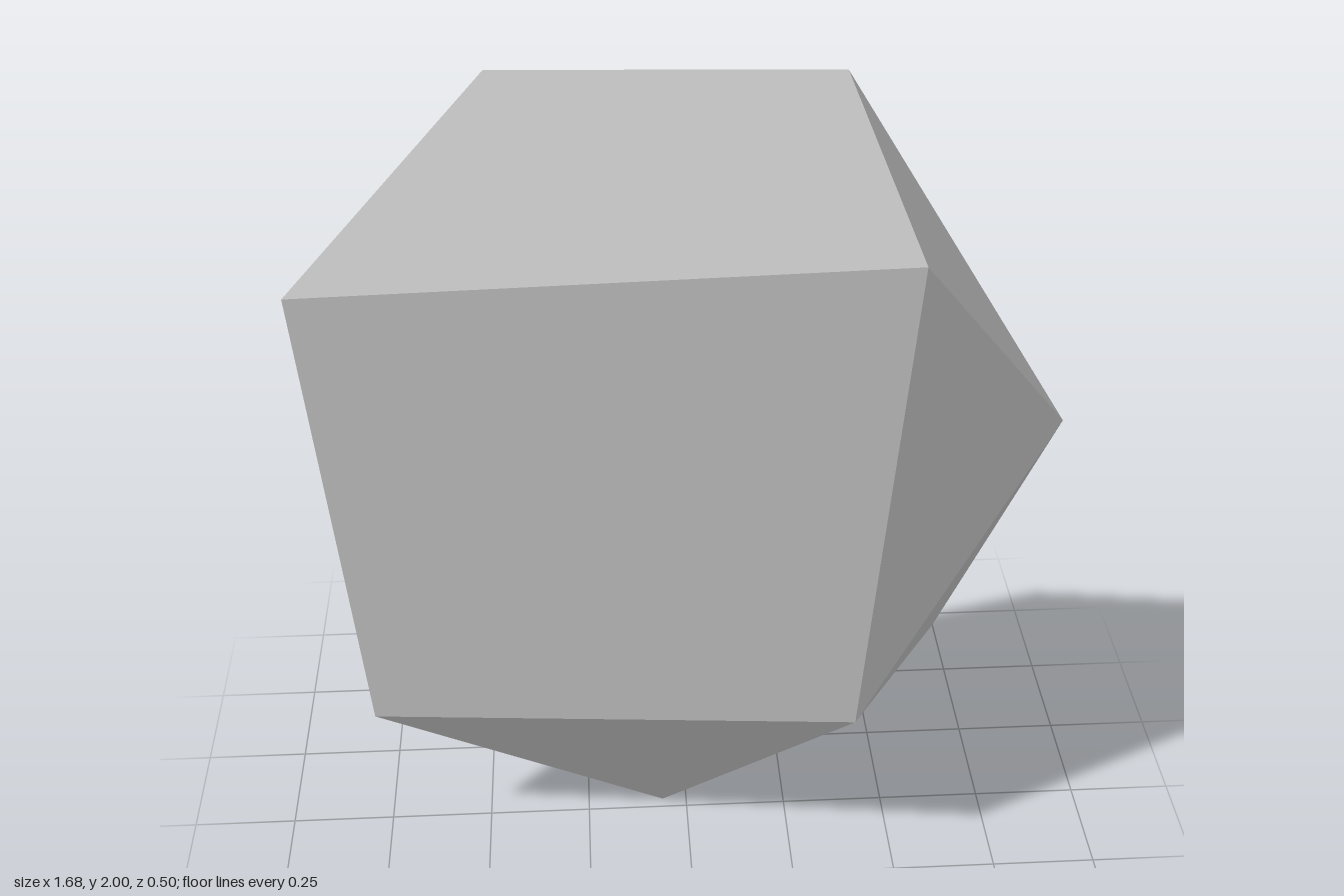
import * as THREE from 'three';

// Corners of the faceted slab
const CORNERS = [
  // crown: left, right
  [-0.41, 1.965, -0.12], [0.323, 2.0, 0.003],
  // front: top left, top right, bottom right, bottom left
  [-0.84, 1.565, 0.095], [0.475, 1.66, 0.207], [0.38, 0.487, 0.25], [-0.755, 0.403, 0.07],
  // side point
  [0.836, 1.18, 0.05],
  // back: top, bottom, far side
  [0.62, 1.405, -0.19], [0.625, 0.463, -0.13], [-0.612, 0.86, -0.25],
  // foot
  [-0.06, 0, -0.028],
].map((p) => new THREE.Vector3(...p));

// Flat facets, counter-clockwise seen from outside
const FACETS = [
  [2, 5, 4, 3], [2, 3, 1, 0], [7, 8, 9, 0], // broad front, crown slope, broad back
  [3, 4, 6], [1, 3, 6], [1, 6, 7], [4, 8, 6], [6, 8, 7], // side around the point
  [1, 7, 0], [9, 5, 2], [9, 2, 0], // upper back and far side
  [5, 10, 4], [4, 10, 8], [9, 8, 10], [9, 10, 5], // underside
];

// Each facet is a fan of triangles sharing one normal
function facetGeometry() {
  const positions = [];
  const normals = [];
  for (const facet of FACETS) {
    const pts = facet.map((i) => CORNERS[i]);
    const normal = pts[2].clone().sub(pts[0])
      .cross(pts[pts.length - 1].clone().sub(pts[1])).normalize();
    for (let i = 1; i < pts.length - 1; i++) {
      for (const p of [pts[0], pts[i], pts[i + 1]]) {
        positions.push(p.x, p.y, p.z);
        normals.push(normal.x, normal.y, normal.z);
      }
    }
  }
  const geometry = new THREE.BufferGeometry();
  geometry.setAttribute('position', new THREE.Float32BufferAttribute(positions, 3));
  geometry.setAttribute('normal', new THREE.Float32BufferAttribute(normals, 3));
  return geometry;
}

export function createModel() {
  const group = new THREE.Group();
  group.name = 'rock';

  const stone = new THREE.MeshStandardMaterial({ color: 0xc6c6c6 });
  stone.name = 'stone grey';

  const body = new THREE.Mesh(facetGeometry(), stone);
  body.name = 'rockBody';
  group.add(body);
  return group;
}
